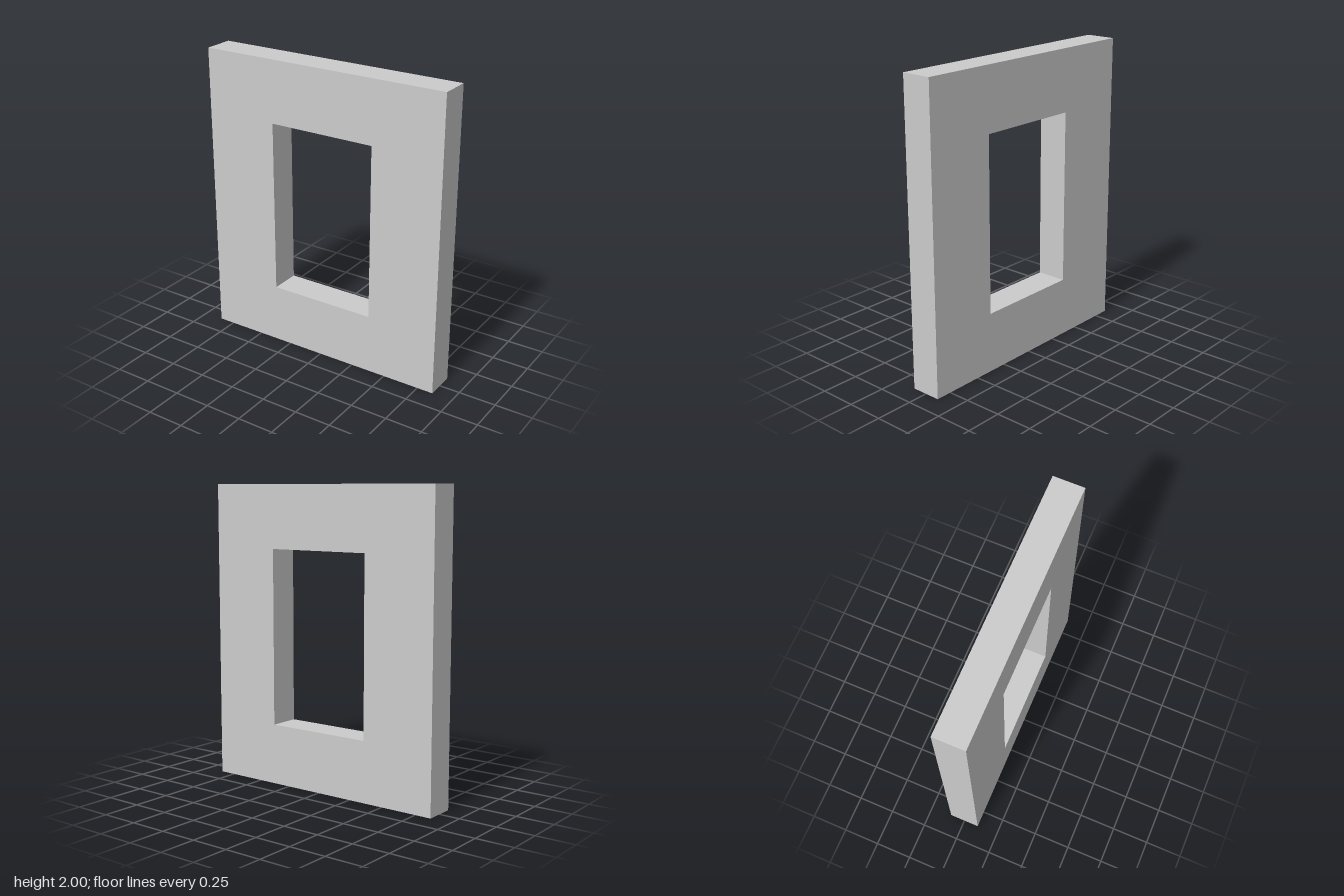
import * as THREE from 'three';

const HALF_WIDTH = 0.86, HEIGHT = 2, DEPTH = 0.206;
const OPENING = { left: -0.36, right: 0.375, bottom: 0.405, top: 1.58 };

// Traces a closed rectangle on a Shape or Path
function rectangle(path, x0, y0, x1, y1) {
  path.moveTo(x0, y0);
  path.lineTo(x1, y0);
  path.lineTo(x1, y1);
  path.lineTo(x0, y1);
  path.closePath();
  return path;
}

export function createModel() {
  const model = new THREE.Group();
  model.name = 'wallWithWindowOpening';

  // Wall slab with a rectangular opening right through it
  const outline = rectangle(new THREE.Shape(), -HALF_WIDTH, 0, HALF_WIDTH, HEIGHT);
  const { left, right, bottom, top } = OPENING;
  outline.holes.push(rectangle(new THREE.Path(), left, bottom, right, top));

  const geometry = new THREE.ExtrudeGeometry(outline, { depth: DEPTH, bevelEnabled: false });
  geometry.translate(0, 0, -DEPTH / 2);

  const wall = new THREE.Mesh(geometry, new THREE.MeshStandardMaterial({ color: 0xcccccc }));
  wall.name = 'wall';
  model.add(wall);
  return model;
}
